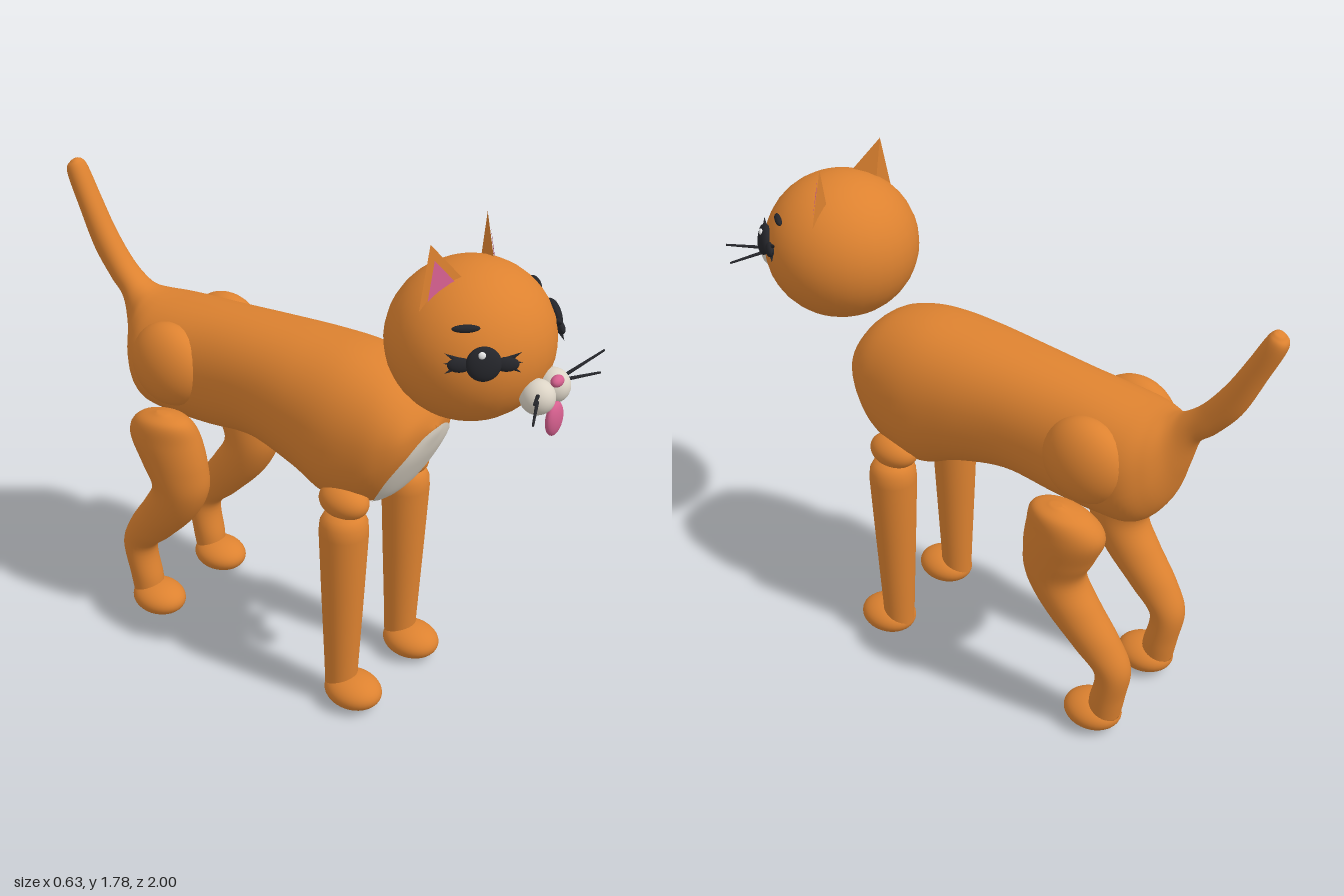
import * as THREE from 'three';
import { ConvexGeometry } from 'three/addons/geometries/ConvexGeometry.js';

const mat = (name, color, side = THREE.FrontSide) => {
  const m = new THREE.MeshStandardMaterial({ color, side });
  m.name = name;
  return m;
};
const V = (x, y, z) => new THREE.Vector3(x, y, z);

// Smooth skin through rings [z1, y1, z2, y2, halfWidth, centreX];
// the two (z, y) points are opposite sides of each cross-section.
function loft(rings, steps, power = 1, sides = 32) {
  const a = new THREE.CatmullRomCurve3(rings.map(r => V(r[0], r[1], r[4])), false, 'catmullrom');
  const b = new THREE.CatmullRomCurve3(rings.map(r => V(r[2], r[3], r[5] || 0)), false, 'catmullrom');
  const pos = [], idx = [];
  const bend = v => Math.sign(v) * Math.abs(v) ** power;
  for (let i = 0; i <= steps; i++) {
    const p = a.getPoint(i / steps), q = b.getPoint(i / steps);
    for (let j = 0; j < sides; j++) {
      const t = j / sides * Math.PI * 2, c = bend(Math.cos(t)) / 2, s = bend(Math.sin(t));
      pos.push(q.z + p.z * s, (p.y + q.y) / 2 + (p.y - q.y) * c, (p.x + q.x) / 2 + (p.x - q.x) * c);
      if (i === steps) continue;
      const k = i * sides + j, n = i * sides + (j + 1) % sides;
      idx.push(k, n, k + sides, n, n + sides, k + sides);
    }
  }
  // end caps
  const last = steps * sides;
  for (let j = 1; j < sides - 1; j++) idx.push(0, j + 1, j, last, last + j, last + j + 1);
  const g = new THREE.BufferGeometry();
  g.setAttribute('position', new THREE.Float32BufferAttribute(pos, 3));
  g.setIndex(idx);
  g.computeVertexNormals();
  return g;
}

export function createModel() {
  const root = new THREE.Group();
  root.name = 'cat';
  const orange = mat('orange fur', 0xdd8230), cream = mat('cream fur', 0xdcd4c6, THREE.DoubleSide);
  const pink = mat('pink', 0xd6608f, THREE.DoubleSide), black = mat('black', 0x24252a);
  const white = mat('white', 0xffffff);

  const add = (name, geo, material, parent = root) => {
    const m = new THREE.Mesh(geo, material);
    m.name = name;
    parent.add(m);
    return m;
  };
  const ball = (name, material, p, r, parent = root) => {
    const m = add(name, new THREE.SphereGeometry(1, 32, 20), material, parent);
    m.position.set(...p);
    m.scale.set(...r);
    return m;
  };
  const rod = (name, a, b, r, material) => {
    const m = add(name, new THREE.CylinderGeometry(r * 0.6, r, a.distanceTo(b), 8), material);
    m.position.copy(a).lerp(b, 0.5);
    m.quaternion.setFromUnitVectors(V(0, 1, 0), b.clone().sub(a).normalize());
  };

  // Body flowing into the tail
  const body = add('bodyAndTail', loft([
    [0.553, 1.09, 0.548, 1.06, 0.02],
    [0.53, 1.15, 0.51, 0.96, 0.14],
    [0.48, 1.215, 0.43, 0.82, 0.195],
    [0.4, 1.262, 0.34, 0.76, 0.222],
    [0.27, 1.288, 0.23, 0.743, 0.237],
    [0.1, 1.285, 0.1, 0.8, 0.225],
    [-0.1, 1.272, -0.1, 0.845, 0.2],
    [-0.3, 1.255, -0.3, 0.82, 0.192],
    [-0.45, 1.24, -0.45, 0.815, 0.198],
    [-0.55, 1.23, -0.58, 0.825, 0.19],
    [-0.61, 1.228, -0.655, 0.9, 0.145],
    [-0.65, 1.235, -0.705, 1.04, 0.085],
    [-0.69, 1.255, -0.745, 1.165, 0.056],
    [-0.75, 1.31, -0.805, 1.225, 0.048],
    [-0.82, 1.405, -0.88, 1.32, 0.045],
    [-0.88, 1.51, -0.945, 1.46, 0.042],
    [-0.93, 1.605, -0.997, 1.58, 0.037],
    [-0.95, 1.63, -0.988, 1.617, 0.022],
    [-0.964, 1.634, -0.974, 1.63, 0.005],
  ], 120, 0.9, 40), orange);

  // Chest patch: an oval laid over the front of the body
  body.updateMatrixWorld();
  const ray = new THREE.Raycaster();
  const patch = new THREE.RingGeometry(0.001, 1, 40, 12);
  const pp = patch.attributes.position;
  for (let i = 0; i < pp.count; i++) {
    const x = pp.getX(i) * 0.155, y = 0.925 + pp.getY(i) * 0.168;
    ray.set(V(x, y, 2), V(0, 0, -1));
    const hit = ray.intersectObject(body)[0];
    pp.setXYZ(i, x, y - 0.003, (hit ? hit.point.z : 0.35) + 0.005);
  }
  patch.computeVertexNormals();
  add('chestPatch', patch, cream);

  // Head and muzzle
  ball('head', orange, [0, 1.44, 0.655], [0.265, 0.25, 0.26]);
  ball('nose', pink, [0, 1.39, 0.957], [0.026, 0.018, 0.018]);
  ball('tongue', pink, [0, 1.264, 0.958], [0.042, 0.056, 0.02]);

  for (const s of [1, -1]) {
    const side = s > 0 ? 'left' : 'right';
    ball(side + 'Cheek', cream, [s * 0.045, 1.345, 0.92], [0.052, 0.055, 0.055]);
    rod(side + 'UpperWhisker', V(s * 0.08, 1.37, 0.94), V(s * 0.208, 1.418, 0.997), 0.006, black);
    rod(side + 'LowerWhisker', V(s * 0.08, 1.355, 0.94), V(s * 0.2, 1.345, 0.995), 0.006, black);

    // Ear with pink lining
    const O = V(s * 0.21, 1.57, 0.6), I = V(s * 0.07, 1.645, 0.685), T = V(s * 0.155, 1.78, 0.597);
    add(side + 'Ear', new ConvexGeometry([O, I, T, V(s * 0.12, 1.59, 0.6)]), orange);
    const out = I.clone().sub(O).cross(T.clone().sub(O)).normalize();
    if (out.z < 0) out.negate();
    const focus = O.clone().lerp(I, 0.5).lerp(T, 0.28);
    const corners = (s > 0 ? [O, T, I] : [O, I, T])
      .map(p => p.clone().lerp(focus, 0.38).addScaledVector(out, 0.004));
    const lining = new THREE.BufferGeometry().setFromPoints(corners);
    lining.computeVertexNormals();
    add(side + 'EarLining', lining, pink);

    // Eye with pointed lash clusters and a glint
    const eye = new THREE.Group();
    eye.name = side + 'Eye';
    eye.position.set(s * 0.2, 1.487, 0.822);
    eye.lookAt(V(s * 0.2 + s * 2.85, 1.487 + 0.8, 0.822 + 2.37));
    root.add(eye);
    ball('pupil', black, [0, 0, 0], [0.052, 0.052, 0.022], eye);
    for (const d of [1, -1]) {
      ball('lashCluster', black, [d * 0.068, -0.004, -0.008], [0.036, 0.022, 0.014], eye);
      for (const k of [-1, 0, 1]) {
        const lash = add('lash', new THREE.ConeGeometry(0.013, 0.06, 8), black, eye);
        lash.position.set(d * 0.085, k * 0.016, -0.012);
        lash.rotation.z = -d * (Math.PI / 2 - k * 0.5);
      }
    }
    ball('glint', white, [s * 0.008, 0.03, 0.018], [0.011, 0.011, 0.006], eye);
    const brow = ball(side + 'Brow', black, [s * 0.197, 1.578, 0.755], [0.042, 0.012, 0.012]);
    brow.rotation.y = s * 0.85;

    // Shoulder and haunch swellings
    ball(side + 'Shoulder', orange, [s * 0.175, 0.815, 0.325], [0.066, 0.06, 0.09]);
    ball(side + 'Haunch', orange, [s * 0.15, 1.06, -0.43], [0.1, 0.15, 0.15]);

    // Front leg
    const profile = [[0.055, 0.06], [0.058, 0.15], [0.072, 0.45], [0.083, 0.7],
      [0.08, 0.74], [0.066, 0.768], [0.04, 0.782], [0, 0.786]];
    add(side + 'FrontLeg', new THREE.LatheGeometry(profile.map(p => new THREE.Vector2(...p)), 32), orange)
      .position.set(s * 0.18, 0, 0.33);

    // Hind leg
    add(side + 'HindLeg', loft([
      [-0.41, 0.928, -0.37, 0.93, 0.015, s * 0.25],
      [-0.5, 0.89, -0.295, 0.905, 0.07, s * 0.238],
      [-0.545, 0.815, -0.268, 0.83, 0.098, s * 0.218],
      [-0.505, 0.71, -0.25, 0.72, 0.098, s * 0.208],
      [-0.468, 0.615, -0.256, 0.61, 0.092, s * 0.2],
      [-0.525, 0.51, -0.32, 0.49, 0.084, s * 0.195],
      [-0.6, 0.4, -0.44, 0.36, 0.073, s * 0.19],
      [-0.647, 0.29, -0.525, 0.27, 0.064, s * 0.184],
      [-0.63, 0.16, -0.507, 0.14, 0.06, s * 0.18],
      [-0.615, 0.07, -0.5, 0.07, 0.055, s * 0.18],
    ], 60), orange);

    // Paws
    ball(side + 'FrontPaw', orange, [s * 0.178, 0.063, 0.38], [0.088, 0.06, 0.105]);
    ball(side + 'HindPaw', orange, [s * 0.178, 0.063, -0.512], [0.088, 0.06, 0.105]);
  }
  return root;
}
